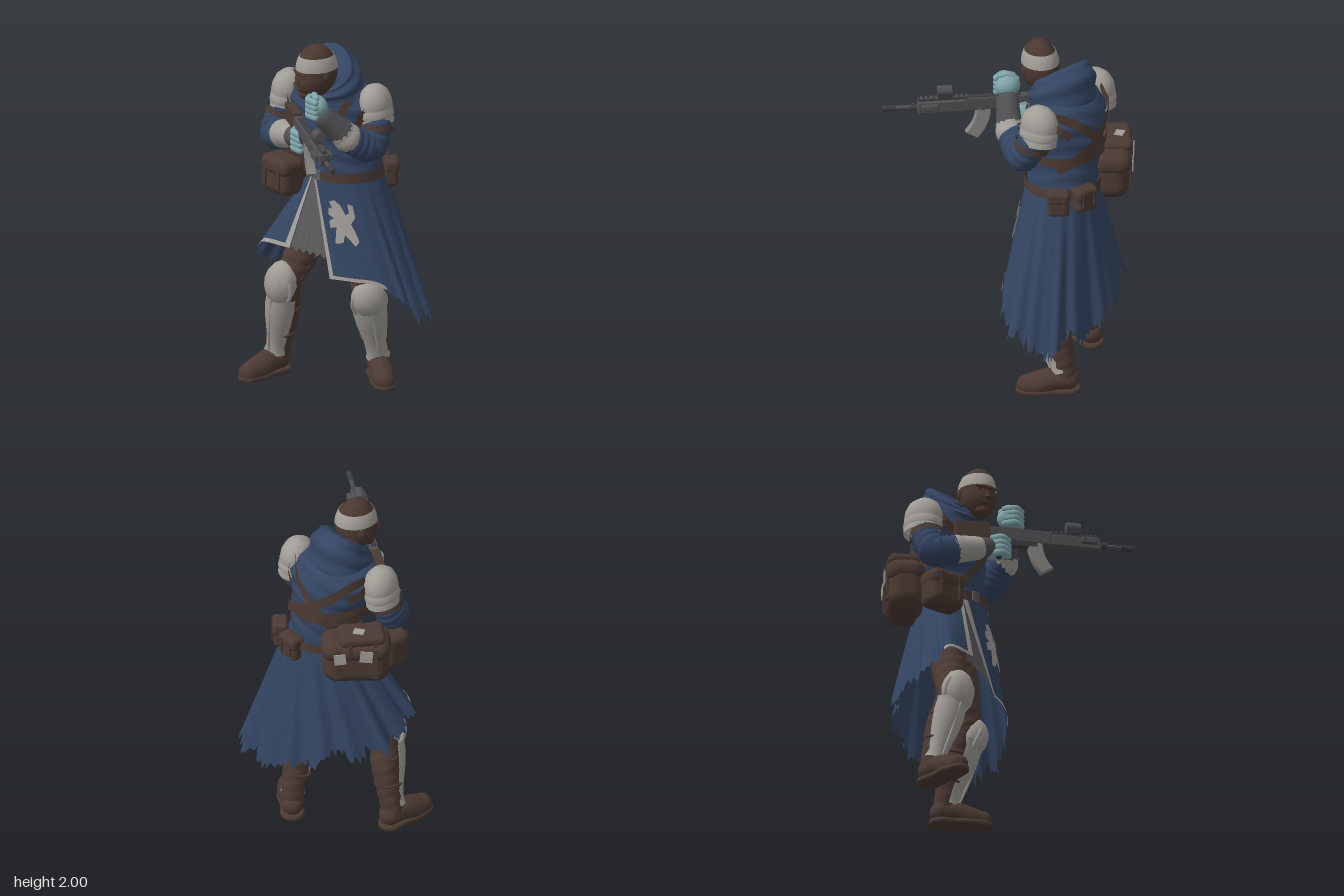
import * as THREE from 'three';
import { mergeGeometries, mergeVertices } from 'three/addons/utils/BufferGeometryUtils.js';
import { RoundedBoxGeometry } from 'three/addons/geometries/RoundedBoxGeometry.js';

const V = (x, y, z) => new THREE.Vector3(x, y, z);
const paint = (name, color) => {
  const m = new THREE.MeshStandardMaterial({ color, side: THREE.DoubleSide });
  m.name = name;
  return m;
};
const hash = (i) => { const s = Math.sin(i * 127.1 + 3.7) * 43758.5453; return s - Math.floor(s); };
const smooth = THREE.MathUtils.smoothstep;

// Surface from a rule f(u, v) -> Vector3
function grid(f, nu, nv) {
  const pos = [], idx = [];
  for (let i = 0; i <= nu; i++) for (let j = 0; j <= nv; j++) pos.push(...f(i / nu, j / nv).toArray());
  for (let i = 0; i < nu; i++) for (let j = 0; j < nv; j++) {
    const a = i * (nv + 1) + j, b = a + nv + 1;
    idx.push(a, a + 1, b, b, a + 1, b + 1);
  }
  let g = new THREE.BufferGeometry();
  g.setAttribute('position', new THREE.Float32BufferAttribute(pos, 3));
  g.setIndex(idx);
  g = mergeVertices(g, 1e-5);
  g.computeVertexNormals();
  return g;
}

// Rounded tapering tube through points [x, y, z, radius]
function limbGeometry(pts, sides = 16, ripple = 0) {
  const curve = new THREE.CatmullRomCurve3(pts.map((p) => V(p[0], p[1], p[2])));
  const n = pts.length * 8, g = new THREE.TubeGeometry(curve, n, 1, sides), p = g.attributes.position, N = g.attributes.normal;
  for (let i = 0; i < p.count; i++) {
    const s = Math.floor(i / (sides + 1)) / n, t = curve.getUtoTmapping(s) * (pts.length - 1);
    const k = Math.min(Math.floor(t), pts.length - 2), f = t - k, c = curve.getPointAt(s);
    const r = THREE.MathUtils.lerp(pts[k][3], pts[k + 1][3], f) + ripple * Math.sin(s * n * 1.9 + i % (sides + 1) * 0.5);
    p.setXYZ(i, c.x + N.getX(i) * r, c.y + N.getY(i) * r, c.z + N.getZ(i) * r);
  }
  g.computeVertexNormals();
  const ends = [pts[0], pts[pts.length - 1]].map((e) => new THREE.SphereGeometry(e[3], sides, 10).translate(e[0], e[1], e[2]));
  return mergeGeometries([g, ...ends]);
}

// Torso sections: y, centre x, centre z, radius x, radius z
const SECTIONS = [[1.18, -0.07, -0.23, 0.19, 0.195], [1.35, -0.09, -0.22, 0.19, 0.19], [1.5, -0.12, -0.2, 0.23, 0.2],
  [1.62, -0.135, -0.19, 0.265, 0.19], [1.7, -0.14, -0.18, 0.22, 0.16], [1.77, -0.12, -0.13, 0.1, 0.1]];
function torsoPoint(a, y, off = 0) {
  let k = 0;
  while (k < SECTIONS.length - 2 && y > SECTIONS[k + 1][0]) k++;
  const A = SECTIONS[k], B = SECTIONS[k + 1], t = (y - A[0]) / (B[0] - A[0]);
  const [, cx, cz, rx, rz] = A.map((q, i) => THREE.MathUtils.lerp(q, B[i], t));
  return V(Math.sin(a) * (rx + off), 0, Math.cos(a) * (rz + off)).applyAxisAngle(V(0, 1, 0), 0.28).add(V(cx, y, cz));
}

// Coat skirt: u runs round from the left front edge to the right front edge, v runs down
const HEM = new THREE.CatmullRomCurve3([[0.02, 0.66, 0.01], [0.15, 0.66, -0.045], [0.27, 0.64, -0.13], [0.36, 0.52, -0.25], [0.36, 0.44, -0.37],
  [0.29, 0.39, -0.5], [0.13, 0.45, -0.54], [-0.08, 0.48, -0.52], [-0.27, 0.56, -0.46], [-0.43, 0.61, -0.3], [-0.5, 0.62, -0.12],
  [-0.48, 0.69, 0.03], [-0.42, 0.79, 0.09], [-0.22, 0.8, 0.08]].map((p) => V(...p)), false, 'catmullrom', 0.5);
function skirtPoint(u, v, off = 0) {
  const h = HEM.getPoint(Math.min(u, 1)), th = -0.5 + Math.pow(u, 0.88) * Math.PI * 2, d = V(Math.sin(th), 0, Math.cos(th));
  const w = V(-0.07, 1.22, -0.23).addScaledVector(d, 0.2);
  const folds = smooth(u, 0.16, 0.26) * (1 - smooth(u, 0.84, 0.94));
  return w.lerp(h, v).addScaledVector(d, off + folds * v * (0.018 * Math.sin(u * 94) + 0.008 * Math.sin(u * 151)));
}

export function createModel() {
  const model = new THREE.Group();
  model.name = 'hoodedSoldier';
  const blue = paint('blueCloth', 0x344562), cream = paint('palePlate', 0xa19d97), leather = paint('brownLeather', 0x4b3a33),
    trouser = paint('brownTrousers', 0x4f3c35), skin = paint('skin', 0x4a3830), grey = paint('gunGrey', 0x4f4f52),
    teal = paint('tealGlove', 0x7fa4a8), lining = paint('greyLining', 0x5d5a5a), dark = paint('darkGrey', 0x3d3d40), steel = paint('magazineGrey', 0x878583);
  const add = (name, geo, mat, parent = model, pos = [0, 0, 0], rot = [0, 0, 0], scale = [1, 1, 1]) => {
    const m = new THREE.Mesh(geo, mat);
    m.name = name;
    m.position.set(...pos); m.rotation.set(...rot); m.scale.set(...scale);
    parent.add(m);
    return m;
  };
  const limb = (name, mat, pts, sides, ripple) => add(name, limbGeometry(pts, sides, ripple), mat);
  const box = (w, h, d, r = 0.008) => new RoundedBoxGeometry(w, h, d, 4, r);
  const ball = new THREE.SphereGeometry(1, 24, 18);
  const group = (name, pos, yaw = 0, parent = model) => {
    const g = new THREE.Group();
    g.name = name; g.position.set(...pos); g.rotation.y = yaw;
    parent.add(g);
    return g;
  };

  // Coat body, skirt with torn hem, pale trim and lining
  add('coatBody', grid((u, v) => torsoPoint(u * Math.PI * 2, 1.18 + v * 0.59, 0.005 * Math.sin(v * 40 + 3 * Math.sin(u * 12.566))), 48, 26), blue);
  add('coatSkirt', grid((u, v) => {
    const torn = smooth(u, 0.16, 0.24) * (1 - smooth(u, 0.84, 0.92)), i = Math.round(u * 220);
    const rip = hash(i) * 0.1 + hash(Math.floor(i / 4) + 500) * 0.11 - 0.07;
    return skirtPoint(u, v * (1 + torn * rip * smooth(v, 0.65, 1)));
  }, 220, 18), blue);
  const trims = [[0, 0.014, 0, 1], [0.986, 1, 0, 1], [0, 0.17, 0.965, 1], [0.9, 1, 0.95, 1]];
  for (const [u0, u1, v0, v1] of trims)
    add('coatTrim', grid((u, v) => skirtPoint(u0 + (u1 - u0) * u, v0 + (v1 - v0) * v, 0.006), 20, 20), cream);
  add('underRobe', grid((u, v) => V(-0.2 + 0.06 * u, 1.2, -0.06)
    .lerp(V(-0.24 + 0.26 * u, 0.79 - 0.03 * u + 0.012 * Math.sin(u * 40), 0.055 - 0.08 * u), v), 24, 8), lining);

  // Pale beast shape laid on the left front panel
  const beast = [[0.08, 0.95], [0.3, 1], [0.5, 0.9], [0.64, 0.7], [0.78, 0.74], [0.76, 0.95], [0.95, 0.92], [0.98, 0.66], [0.8, 0.5],
    [0.9, 0.34], [1, 0.12], [0.85, 0], [0.66, 0.16], [0.54, 0.24], [0.46, 0.05], [0.16, 0], [0.2, 0.16], [0.26, 0.38], [0.02, 0.34],
    [0, 0.5], [0.2, 0.58], [0, 0.64], [0.02, 0.8], [0.16, 0.8]].map((p) => new THREE.Vector2(...p));
  const emblem = new THREE.ShapeGeometry(new THREE.Shape(beast)), ep = emblem.attributes.position;
  for (let i = 0; i < ep.count; i++) {
    const x = ep.getX(i), y = ep.getY(i);
    ep.setXYZ(i, ...skirtPoint(0.056 + x * 0.096 - (1 - y) * 0.024, 0.64 - y * 0.44, 0.012).toArray());
  }
  emblem.computeVertexNormals();
  add('panelEmblem', emblem, cream);

  // Lowered hood: rings of height, centre z, radii and backward tilt, closing in on the neck
  const rings = [[1.64, -0.165, 0.195, 0.16, 0], [1.72, -0.155, 0.195, 0.165, 0.2], [1.79, -0.145, 0.178, 0.152, 0.5],
    [1.82, -0.12, 0.148, 0.12, 0.8], [1.81, -0.09, 0.112, 0.1, 0.75], [1.73, -0.05, 0.075, 0.07, 0.3]];
  const ringCurves = [0, 1, 2, 3, 4].map((k) => new THREE.SplineCurve(rings.map((r) => new THREE.Vector2(0, r[k]))));
  add('hood', grid((u, v) => {
    const [y, z, rx, rz, tilt] = ringCurves.map((c) => c.getPoint(v).y), a = u * Math.PI * 2;
    const fold = 1 + 0.035 * Math.sin(v * 26 + 1.6 * Math.cos(a)), dz = Math.cos(a) * rz * fold;
    return V(-0.13 + Math.sin(a) * rx * fold - 0.07 * tilt * Math.max(0, -Math.cos(a)), y - dz * tilt, z + dz);
  }, 48, 40), blue);

  // Head, bowed and turned a little to its right
  const head = group('head', [-0.1, 1.845, -0.005], -0.3);
  head.rotation.x = 0.07;
  const skull = new THREE.SphereGeometry(1, 32, 24), sp = skull.attributes.position;
  for (let i = 0; i < sp.count; i++) {
    const y = sp.getY(i), low = Math.max(0, -y), w = 1 + 0.3 * low * (1 - low);
    sp.setXYZ(i, sp.getX(i) * 0.1 * w, y * 0.153, sp.getZ(i) * 0.118 * w + low * 0.025);
  }
  skull.computeVertexNormals();
  add('skull', skull, skin, head);
  const bandTop = Math.acos(0.6), bandLow = Math.acos(0.12);
  add('headband', new THREE.SphereGeometry(1, 32, 6, 0, Math.PI * 2, bandTop, bandLow - bandTop), cream, head, [0, 0, 0], [-0.04, 0, 0], [0.104, 0.158, 0.123]);
  add('brow', ball, skin, head, [0, 0.012, 0.107], [0, 0, 0], [0.065, 0.014, 0.018]);
  add('nose', new THREE.ConeGeometry(0.02, 0.065, 8), skin, head, [0, -0.025, 0.122], [-0.25, 0, 0]);
  add('mouth', ball, skin, head, [0, -0.078, 0.112], [0, 0, 0], [0.032, 0.012, 0.014]);
  add('chin', ball, skin, head, [0, -0.118, 0.08], [0, 0, 0], [0.045, 0.032, 0.035]);
  for (const s of [-1, 1]) {
    add('ear', ball, skin, head, [s * 0.1, -0.015, -0.01], [0, s * 0.3, 0], [0.012, 0.034, 0.022]);
    add('eye', ball, dark, head, [s * 0.038, -0.004, 0.106], [0, 0, 0], [0.015, 0.006, 0.008]);
  }
  limb('neck', skin, [[-0.13, 1.66, -0.13, 0.07], [-0.11, 1.78, -0.05, 0.07]]);

  // Sleeves, bracers, shoulder plates
  limb('rightSleeve', blue, [[-0.39, 1.64, -0.11, 0.066], [-0.42, 1.53, -0.08, 0.083], [-0.415, 1.41, -0.02, 0.093], [-0.32, 1.43, 0.035, 0.078]], 20, 0.004);
  limb('leftSleeve', blue, [[0.09, 1.64, -0.25, 0.066], [0.135, 1.54, -0.23, 0.083], [0.16, 1.43, -0.16, 0.09], [0.12, 1.5, -0.02, 0.08]], 20, 0.004);
  limb('rightBracer', cream, [[-0.31, 1.435, 0.04, 0.08], [-0.205, 1.46, 0.09, 0.066]]);
  limb('rightGauntlet', grey, [[-0.18, 1.468, 0.1, 0.058], [-0.15, 1.475, 0.115, 0.055]]);
  limb('leftCuff', cream, [[0.123, 1.505, -0.015, 0.082], [0.112, 1.53, 0.005, 0.076]]);
  limb('leftGauntlet', grey, [[0.108, 1.54, 0.012, 0.074], [0.055, 1.63, 0.09, 0.062]]);
  const plate = [[0.001, 0.105], [0.045, 0.097], [0.08, 0.068], [0.098, 0.025], [0.102, -0.02], [0.092, -0.028], [0.101, -0.034],
    [0.105, -0.07], [0.095, -0.076], [0.1, -0.082], [0.1, -0.115]].map((p) => new THREE.Vector2(...p));
  for (const [name, x, z, tilt, strapX, strapZ] of [['right', -0.415, -0.11, -0.12, -0.42, -0.075], ['left', 0.11, -0.25, 0.12, 0.14, -0.225]]) {
    add(name + 'ShoulderPlate', new THREE.LatheGeometry(plate, 28), cream, model, [x, 1.645, z], [0, 0.28, tilt], [0.88, 1, 1.08]);
    add(name + 'ArmStrap', new THREE.CylinderGeometry(0.096, 0.099, 0.035, 24, 1, true), leather, model, [strapX, 1.515, strapZ], [-0.2, 0, tilt]);
  }

  // Gloved hands with curled fingers
  for (const [name, x, y, z, yaw, size] of [['rightHand', -0.08, 1.485, 0.125, -0.5, 1.15], ['leftHand', 0.025, 1.7, 0.125, -0.4, 1.1]]) {
    const h = group(name, [x, y, z], yaw);
    h.scale.setScalar(size);
    add('palm', ball, teal, h, [0, 0, 0], [0, 0, 0], [0.065, 0.056, 0.052]);
    for (let i = 0; i < 4; i++)
      add('finger', limbGeometry([[-0.035, 0.04 - i * 0.026, 0.022, 0.018], [0.01, 0.042 - i * 0.026, 0.05, 0.018], [0.05, 0.036 - i * 0.026, 0.03, 0.017]], 10), teal, h);
    add('thumb', limbGeometry([[-0.045, 0.03, 0, 0.018], [-0.01, 0.056, 0.01, 0.018], [0.03, 0.052, 0.015, 0.015]], 10), teal, h);
  }

  // Legs: trousers, boots, shin and knee guards
  const legs = [['right', [-0.17, 1.02, -0.18], [-0.315, 0.56, 0.01], [-0.43, 0.1, -0.04], [-0.05, 0, 1], 0.49, 0.13],
    ['left', [-0.02, 1.02, -0.24], [0.06, 0.54, -0.23], [0.02, 0.1, -0.37], [0.8, 0, 0.6], 0.44, 0.11]];
  const greave = [[0.068, 0.0], [0.06, 0.03], [0.064, 0.1], [0.086, 0.22], [0.095, 0.3], [0.092, 0.36], [0.097, 0.38]].map((p) => new THREE.Vector2(...p));
  for (const [side, hip, knee, ankle, face, capY, capH] of legs) {
    const mid = hip.map((h, i) => (h + knee[i]) / 2);
    limb(side + 'TrouserLeg', trouser, [[...hip, 0.1], [...mid, 0.098], [...knee, 0.08]], 20, 0.004);
    limb(side + 'BootShaft', leather, [[...knee, 0.075], [knee[0] * 0.6 + ankle[0] * 0.4, 0.38, knee[2] * 0.6 + ankle[2] * 0.4 - 0.02, 0.08], [...ankle, 0.06]], 20, 0.002);
    const y = V(...knee).sub(V(...ankle)).normalize(), f = V(...face).normalize(), x = y.clone().cross(f).normalize();
    const guard = group(side + 'LegGuard', ankle);
    guard.quaternion.setFromRotationMatrix(new THREE.Matrix4().makeBasis(x, y, x.clone().cross(y)));
    add('shinGuard', new THREE.LatheGeometry(greave, 24, -1.6, 3.2), cream, guard, [0, 0.03, 0.012]);
    add('shinRidge', limbGeometry([[0, 0.05, 0.074, 0.006], [0, 0.2, 0.092, 0.008], [0, 0.4, 0.104, 0.008]], 8), cream, guard);
    add('kneeGuard', new THREE.SphereGeometry(1, 10, 8), cream, guard, [0, capY, 0.045], [-0.15, 0, 0], [0.1, capH, 0.082]);
    add('kneeRim', new THREE.TorusGeometry(0.088, 0.011, 8, 24), cream, guard, [0, capY - 0.02, 0.055], [0.1, 0, 0], [1.08, 1.15, 1]);
    for (const h of [0.16, 0.32]) add('guardStrap', new THREE.TorusGeometry(0.062 + h * 0.05, 0.01, 6, 24), leather, guard, [0, h, -0.008], [Math.PI / 2, 0, 0]);

    // Boot foot, flattened on the ground, with sole rim and laces
    const at = (d, h, r) => [ankle[0] + f.x * d, h, ankle[2] + f.z * d, r];
    const flat = (pts, low, high) => {
      const g = limbGeometry(pts, 20), p = g.attributes.position;
      for (let i = 0; i < p.count; i++) p.setY(i, THREE.MathUtils.clamp(p.getY(i), low, high));
      g.computeVertexNormals();
      return g;
    };
    add(side + 'BootFoot', flat([at(-0.015, 0.075, 0.062), at(0.07, 0.075, 0.066), at(0.15, 0.05, 0.07), at(0.215, 0.042, 0.058)], 0, 1), leather);
    add(side + 'BootSole', flat([at(-0.015, 0.012, 0.068), at(0.07, 0.012, 0.062), at(0.15, 0.012, 0.073), at(0.217, 0.012, 0.062)], 0, 0.026), leather);
    for (let i = 0; i < 3; i++) {
      const p = V(ankle[0], 0.139 - i * 0.009, ankle[2]).addScaledVector(f, 0.065 + i * 0.03), s = V(f.z, 0, -f.x).multiplyScalar(0.04);
      const a = p.clone().add(s), b = p.clone().sub(s);
      limb('bootLace', leather, [[a.x, a.y - 0.016, a.z, 0.007], [p.x, p.y, p.z, 0.007], [b.x, b.y - 0.016, b.z, 0.007]], 6);
    }
  }

  // Belt, buckle and harness straps lying on the coat
  add('belt', grid((u, v) => torsoPoint(u * Math.PI * 2, 1.205 + v * 0.055, 0.018), 48, 1), leather);
  add('beltBuckle', box(0.05, 0.06, 0.01, 0.004), lining, model, [-0.1, 1.233, -0.012], [0, -0.05, 0]);
  const strap = (pts, w) => {
    const c = new THREE.SplineCurve(pts.map((p) => new THREE.Vector2(...p)));
    const at = (t) => { const q = c.getPoint(t); return torsoPoint(q.x, q.y, 0.018); };
    add('harnessStrap', grid((u, v) => {
      const q = c.getPoint(u), p = at(u), T = at(Math.min(1, u + 0.01)).sub(at(Math.max(0, u - 0.01))).normalize();
      return p.addScaledVector(T.cross(V(Math.sin(q.x + 0.28), 0, Math.cos(q.x + 0.28))), (v - 0.5) * w);
    }, 40, 2), leather);
  };
  strap([[2, 1.69], [2.5, 1.65], [3.14, 1.52], [4.2, 1.3]], 0.055);
  strap([[4.3, 1.69], [3.8, 1.65], [3.14, 1.52], [2, 1.38]], 0.055);
  strap([[1.2, 1.42], [3.14, 1.43], [5, 1.41]], 0.05);
  strap([[2.6, 1.48], [3.4, 1.47], [4.6, 1.5]], 0.04);
  strap([[0.7, 1.68], [-0.1, 1.45], [-1, 1.26]], 0.045);
  strap([[-0.7, 1.5], [-1.1, 1.63], [-1.9, 1.65], [-2.4, 1.58]], 0.045);
  strap([[0.8, 1.5], [1.1, 1.63], [1.9, 1.65], [2.4, 1.58]], 0.045);

  // Satchel and belt pouches: body, flap, side straps
  const pouch = (name, pos, yaw, w, h, d, round, patches = []) => {
    const g = group(name, pos, yaw);
    add('pouchBody', box(w, h, d, Math.min(w, d) * round), leather, g);
    add('pouchFlap', box(w * 1.04, h * 0.5, d * 1.08, Math.min(h * 0.24, d * round)), leather, g, [0, h * 0.27, 0.005]);
    for (const s of [-0.28, 0.28]) add('pouchStrap', box(w * 0.1, h * 0.7, 0.014, 0.004), leather, g, [s * w, 0.01, d / 2 + 0.006]);
    for (const [x, y, s, r] of patches) add('pouchPatch', new THREE.BoxGeometry(s, s, 0.006), cream, g, [x, y, d * 0.54 + 0.009], [0, 0, r]);
  };
  pouch('satchel', [-0.39, 1.235, -0.275], -2.3, 0.37, 0.28, 0.2, 0.38, [[-0.09, 0.05, 0.065, 0.1], [0.055, 0.065, 0.07, -0.1]]);
  pouch('satchelTopRoll', [-0.42, 1.35, -0.265], -2.2, 0.25, 0.13, 0.16, 0.4);
  add('satchelTopPatch', new THREE.BoxGeometry(0.06, 0.006, 0.05), cream, model, [-0.43, 1.419, -0.29], [0, 0.6, 0]);
  pouch('rightFrontPouch', [-0.365, 1.175, -0.015], -0.15, 0.22, 0.21, 0.15, 0.3);
  pouch('leftBackPouch', [0.09, 1.205, -0.39], 2.4, 0.12, 0.15, 0.08, 0.28);
  pouch('backPouch', [-0.05, 1.205, -0.44], 3.1, 0.13, 0.14, 0.08, 0.28);

  // Rifle, pointing along its own +x
  const rifle = group('rifle', [0, 1.555, 0.2], -0.571);
  const part = (name, x0, x1, y, h, d, mat = grey, z = 0) => add(name, box(x1 - x0, h, d, 0.006), mat, rifle, [(x0 + x1) / 2, y, z]);
  const rod = (name, x0, x1, r, mat, y = 0.005) => add(name, new THREE.CylinderGeometry(r, r, x1 - x0, 14), mat, rifle, [(x0 + x1) / 2, y, 0], [0, 0, Math.PI / 2]);
  part('receiver', -0.16, 0.2, 0.01, 0.075, 0.046);
  part('lowerReceiver', -0.06, 0.12, -0.035, 0.04, 0.042, dark);
  part('handguard', 0.2, 0.47, 0.005, 0.066, 0.056);
  part('topRail', -0.1, 0.47, 0.048, 0.016, 0.028, dark);
  for (let i = 0; i < 10; i++) part('railRib', 0.19 + i * 0.028, 0.203 + i * 0.028, 0.056, 0.012, 0.034);
  for (const s of [-1, 1]) part('sideDevice', 0.36, 0.45, 0.012, 0.036, 0.028, grey, s * 0.04);
  part('sightBase', 0.28, 0.36, 0.067, 0.025, 0.04, dark);
  rod('sightTube', 0.28, 0.36, 0.03, grey, 0.095);
  rod('barrel', 0.46, 0.6, 0.012, grey);
  rod('gasBlock', 0.48, 0.51, 0.022, dark);
  rod('muzzleBrake', 0.59, 0.667, 0.017, dark);
  part('buttStock', -0.35, -0.15, 0.015, 0.1, 0.05, leather);
  add('pistolGrip', box(0.04, 0.11, 0.036, 0.01), dark, rifle, [-0.09, -0.08, 0], [0, 0, -0.3]);
  const mag = new THREE.Shape();
  mag.moveTo(0.065, -0.02);
  mag.quadraticCurveTo(0.075, -0.13, 0.14, -0.2);
  mag.lineTo(0.2, -0.165);
  mag.quadraticCurveTo(0.145, -0.11, 0.14, -0.02);
  add('magazine', new THREE.ExtrudeGeometry(mag, { depth: 0.034, bevelSize: 0.004, bevelThickness: 0.004, bevelSegments: 1 }), steel, rifle, [0, 0, -0.017]);
  return model;
}
